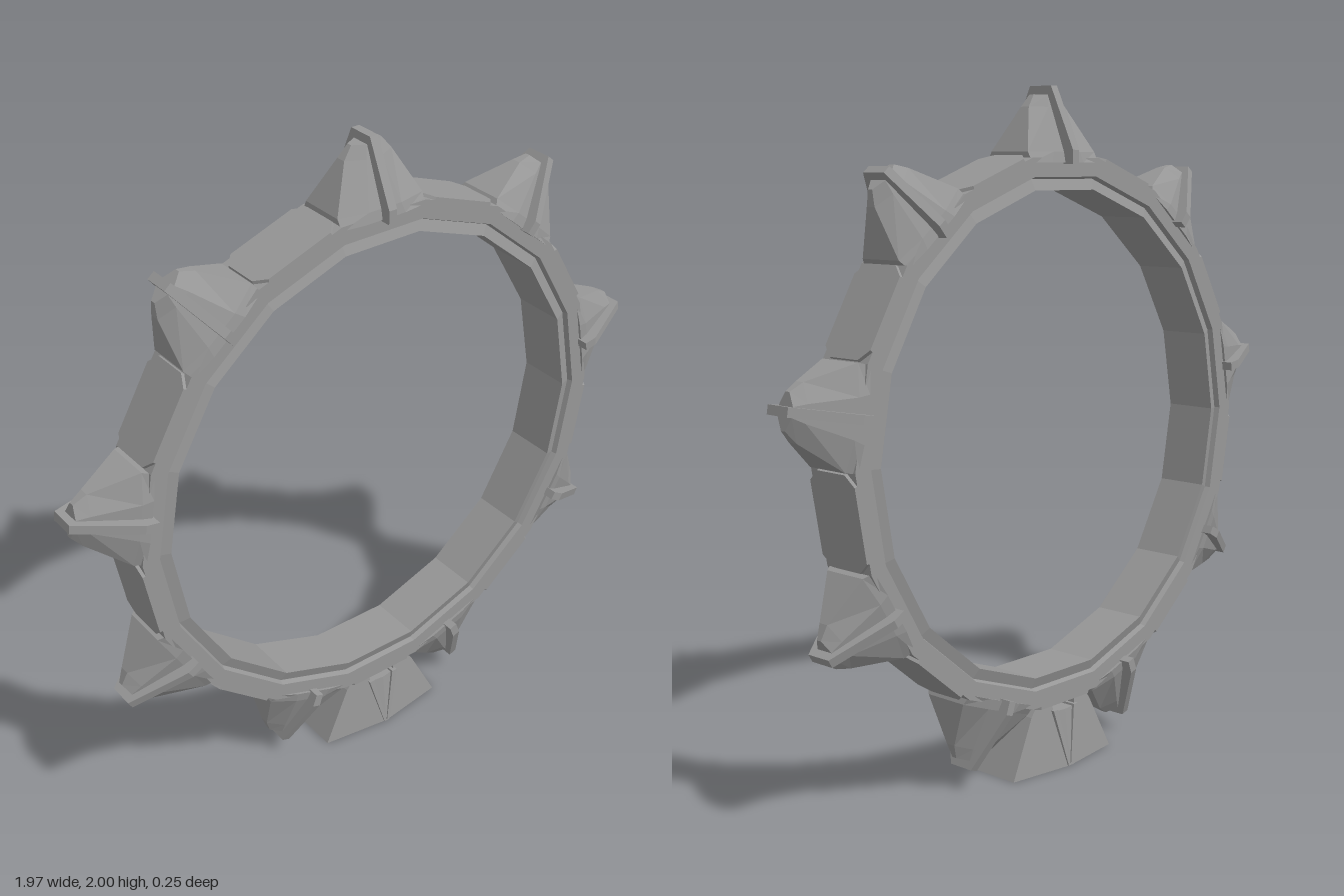
import * as THREE from 'three';

const mat = new THREE.MeshStandardMaterial({ color: 0x979797, flatShading: true });
const rad = THREE.MathUtils.degToRad;

function part(name, geometry) {
  const m = new THREE.Mesh(geometry, mat);
  m.name = name;
  return m;
}

// Skin a stack of cross-sections (bottom to top, counter-clockwise from above) and cap both ends
function loft(sections) {
  const pos = [];
  const tri = (a, b, c) => pos.push(...a, ...b, ...c);
  const n = sections[0].length;
  for (let s = 0; s < sections.length - 1; s++) {
    const a = sections[s], b = sections[s + 1];
    for (let i = 0; i < n; i++) {
      const j = (i + 1) % n;
      tri(a[i], a[j], b[j]);
      tri(a[i], b[j], b[i]);
    }
  }
  const lo = sections[0], hi = sections[sections.length - 1];
  for (let i = 1; i < n - 1; i++) {
    tri(lo[0], lo[i + 1], lo[i]);
    tri(hi[0], hi[i], hi[i + 1]);
  }
  const g = new THREE.BufferGeometry();
  g.setAttribute('position', new THREE.Float32BufferAttribute(pos, 3));
  g.computeVertexNormals();
  return g;
}

// Eight-sided section: half length x, end half depth ze, middle strip half length s and half depth zc
const octagon = (y, x, ze, s, zc) => [
  [x, y, ze], [x, y, -ze], [s, y, -zc], [-s, y, -zc],
  [-x, y, -ze], [-x, y, ze], [-s, y, zc], [s, y, zc],
];

// Four-sided section from x0 to x1 whose depth tapers away from the middle
const depthAt = (x, y) => 0.113 - 0.14 * Math.abs(x) - 0.12 * y;
const slab = (y, x0, x1) => [
  [x1, y, depthAt(x1, y)], [x1, y, -depthAt(x1, y)],
  [x0, y, -depthAt(x0, y)], [x0, y, depthAt(x0, y)],
];

// Eighteen-sided hoop: an inner lip sloping back to a stepped outer rim
function makeHoop() {
  const profile = [
    [0.718, -0.083], [0.75, -0.072], [0.756, -0.088], [0.81, -0.088],
    [0.81, 0.088], [0.756, 0.088], [0.75, 0.072], [0.718, 0.083], [0.718, -0.083],
  ].map(([r, y]) => new THREE.Vector2(r, y));
  const g = new THREE.LatheGeometry(profile, 18);
  g.rotateX(Math.PI / 2);
  g.rotateZ(rad(10));
  return part('hoop', g);
}

// Pointed stud: faceted body plus a thin fin wrapped round its middle
function makeStud() {
  const stud = new THREE.Group();
  stud.name = 'stud';
  stud.add(part('studBody', loft([
    octagon(0.785, 0.14, 0.086, 0.065, 0.096),
    octagon(0.815, 0.142, 0.07, 0.055, 0.09),
    octagon(0.94, 0.078, 0.015, 0.025, 0.042),
    octagon(0.975, 0.05, 0.008, 0.014, 0.028),
  ])));
  const outline = [[0.124, 0.78], [0.124, 0.82], [0.04, 1], [-0.04, 1], [-0.124, 0.82], [-0.124, 0.78]];
  const fin = new THREE.ExtrudeGeometry(
    new THREE.Shape(outline.map(([x, y]) => new THREE.Vector2(x, y))),
    { depth: 0.026, bevelEnabled: false });
  fin.translate(0, 0, -0.013);
  fin.rotateY(Math.PI / 2);
  stud.add(part('studFin', fin));
  return stud;
}

// Clipped-corner plate on the flats between studs
function makePlate() {
  return part('rimPlate', loft([
    octagon(0.78, 0.138, 0.06, 0.11, 0.088),
    octagon(0.807, 0.136, 0.055, 0.105, 0.088),
  ]));
}

// Foot block with a notch on top and a V moulding on both faces
function makeFoot() {
  const foot = new THREE.Group();
  foot.name = 'foot';
  const halfWidth = (y) => 0.216 - 0.5 * y;
  for (const side of [-1, 1]) {
    const span = (y, inner, outer) => side > 0 ? slab(y, inner, outer) : slab(y, -outer, -inner);
    foot.add(part('footHalf', loft([span(0, 0, halfWidth(0)), span(0.172, 0, halfWidth(0.172))])));
    foot.add(part('footShoulder', loft([
      span(0.172, 0.046, halfWidth(0.172)), span(0.205, 0.05, 0.105),
    ])));
    // One bar of the V, running through to the opposite face
    const bar = (y, x0, x1) => {
      const z = depthAt(0, y) + 0.003;
      const [a, b] = side > 0 ? [x0, x1] : [-x1, -x0];
      return [[b, y, z], [b, y, -z], [a, y, -z], [a, y, z]];
    };
    foot.add(part('footMoulding', loft([bar(0.002, 0, 0.01), bar(0.178, 0.036, 0.054)])));
  }
  return foot;
}

export function createModel() {
  const model = new THREE.Group();
  model.name = 'studdedRing';
  const ring = new THREE.Group();
  ring.name = 'ring';
  ring.position.set(0.006, 1, 0);
  ring.add(makeHoop());
  for (let i = 0; i < 9; i++) {
    const stud = makeStud();
    stud.rotation.z = rad(40 * i);
    const plate = makePlate();
    plate.rotation.z = rad(40 * i + 20);
    ring.add(stud, plate);
  }
  const foot = makeFoot();
  foot.position.x = 0.01;
  model.add(ring, foot);
  return model;
}
